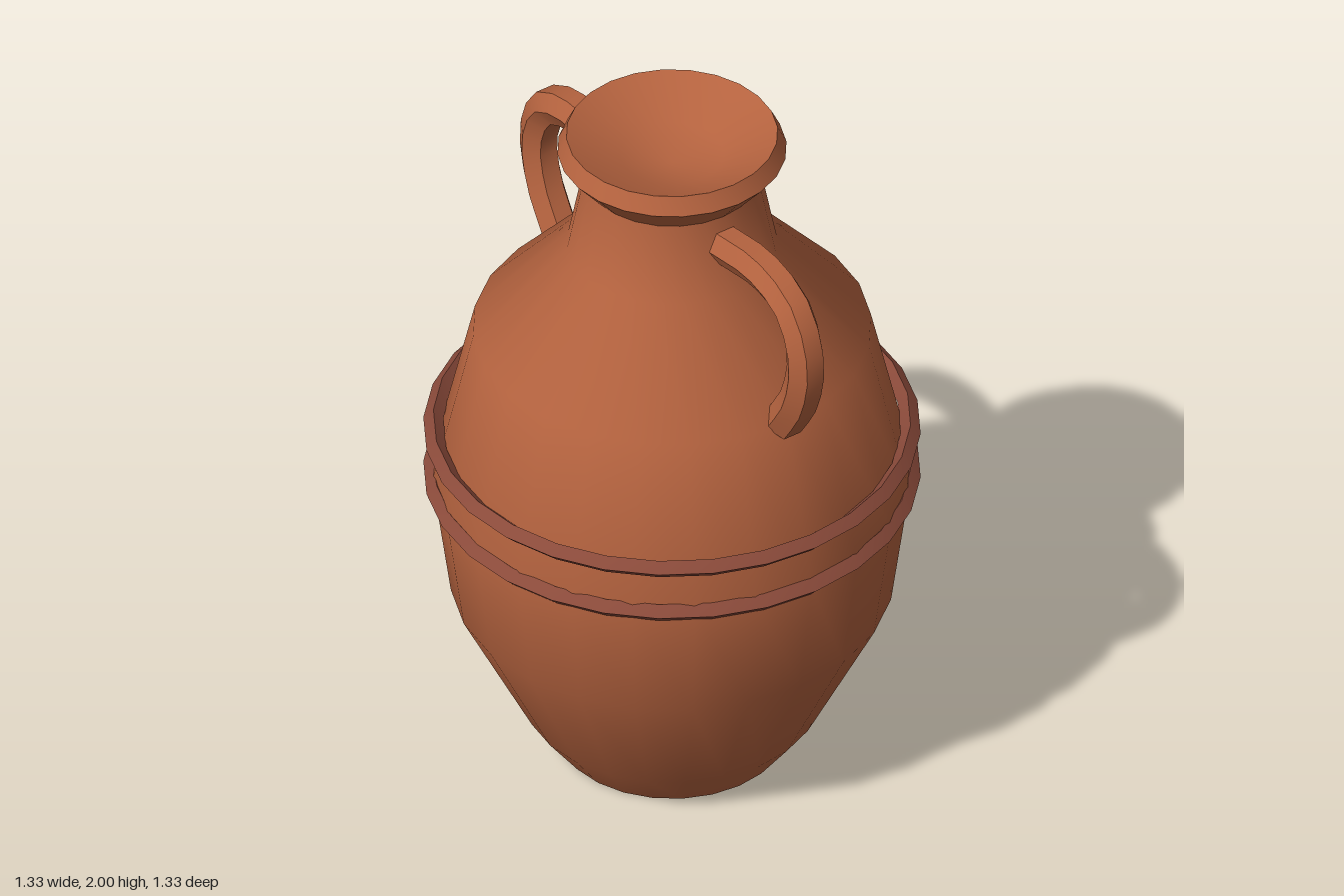
import * as THREE from 'three';
import { toCreasedNormals } from 'three/addons/utils/BufferGeometryUtils.js';

const CREASE = 0.66;

export function createModel() {
  const model = new THREE.Group();
  model.name = 'amphora';

  const clay = new THREE.MeshStandardMaterial({ color: 0xb5633f });
  clay.name = 'terracotta';
  const darkClay = new THREE.MeshStandardMaterial({ color: 0x8a4a3a });
  darkClay.name = 'dark terracotta';

  const add = (name, geometry, material) => {
    const mesh = new THREE.Mesh(toCreasedNormals(geometry, CREASE), material);
    mesh.name = name;
    model.add(mesh);
    return mesh;
  };

  // Body, neck, flared lip and shallow dished mouth as one turned profile
  const profile = [
    [0, 0], [0.31, 0], [0.4, 0.12], [0.595, 0.51], [0.645, 0.88],
    [0.535, 1.355], [0.282, 1.635], [0.237, 1.865],
    [0.308, 1.95], [0.284, 2], [0.14, 1.93], [0, 1.9],
  ].map(([r, y]) => new THREE.Vector2(r, y));
  add('body', new THREE.LatheGeometry(profile, 24), clay);

  // Two raised bands with a diamond section
  for (const [name, y] of [['lowerBand', 0.873], ['upperBand', 1.019]]) {
    const band = new THREE.TorusGeometry(0.64, 0.027, 4, 28);
    band.rotateX(-Math.PI / 2);
    add(name, band, darkClay).position.y = y;
  }

  // Six-sided loop handles, from the neck over to the shoulder
  const path = new THREE.CatmullRomCurve3([
    [0.25, 1.777], [0.43, 1.797], [0.56, 1.75],
    [0.617, 1.62], [0.59, 1.475], [0.515, 1.35],
  ].map(([x, y]) => new THREE.Vector3(x, y, 0)));
  for (const [name, turn] of [['leftHandle', 0], ['rightHandle', Math.PI]]) {
    const handle = new THREE.TubeGeometry(path, 12, 0.055, 6);
    add(name, handle, clay).rotation.y = turn;
  }

  return model;
}
